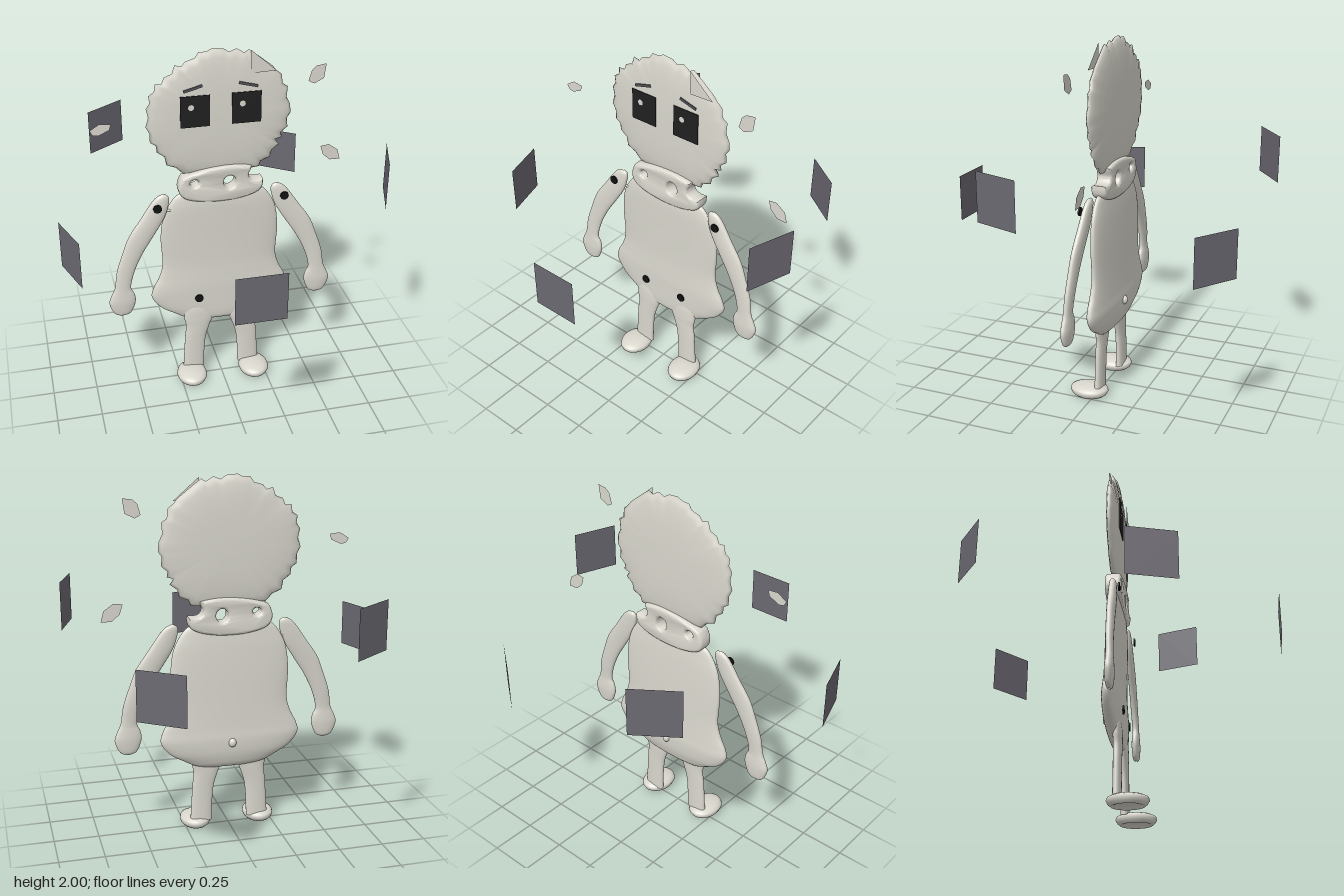
import * as THREE from 'three';
import { toCreasedNormals } from 'three/addons/utils/BufferGeometryUtils.js';

const mat = (name, color, side = THREE.FrontSide) => {
  const m = new THREE.MeshStandardMaterial({ color, side });
  m.name = name;
  return m;
};

function indexed(pos, idx) {
  const g = new THREE.BufferGeometry();
  g.setAttribute('position', new THREE.Float32BufferAttribute(pos, 3));
  g.setIndex(idx);
  g.computeVertexNormals();
  return g;
}

// Smooth upright form through rows of [y, centreX, halfWidth, centreZ, halfDepth], bottom to top
function loft(rows, side = 1, steps = 48, seg = 40) {
  const mid = new THREE.CatmullRomCurve3(rows.map(r => new THREE.Vector3(r[1] * side, r[0], r[3])), false, 'catmullrom');
  const size = new THREE.CatmullRomCurve3(rows.map(r => new THREE.Vector3(r[2], r[4], 0)), false, 'catmullrom');
  const pos = [], idx = [];
  for (let i = 0; i <= steps; i++) {
    const c = mid.getPoint(i / steps), s = size.getPoint(i / steps);
    for (let j = 0; j < seg; j++) {
      const a = j / seg * Math.PI * 2, sn = Math.sin(a);
      pos.push(c.x + Math.max(s.x, 0.001) * Math.cos(a), c.y,
        c.z + Math.max(s.y, 0.001) * Math.sign(sn) * Math.abs(sn) ** 0.8);
      if (i < steps) {
        const p = i * seg + j, q = i * seg + (j + 1) % seg;
        idx.push(p, p + seg, q + seg, p, q + seg, q);
      }
    }
  }
  return indexed(pos, idx);
}

// Lens-shaped slab swelling from a counter-clockwise outline
function puff(outline, cx, cy, cz, depth) {
  const n = outline.length, levels = [0.02, 0.3, 0.55, 0.75, 0.88, 0.96, 1];
  const rings = [...levels.map(t => [t, 1]), ...levels.slice(0, -1).reverse().map(t => [t, -1])];
  const pos = [], idx = [];
  rings.forEach(([t, s], i) => outline.forEach(([x, y], j) => {
    pos.push(cx + (x - cx) * t, cy + (y - cy) * t, cz + s * depth * Math.sqrt(1 - t ** 3));
    if (i < rings.length - 1) {
      const p = i * n + j, q = i * n + (j + 1) % n;
      idx.push(p, p + n, q + n, p, q + n, q);
    }
  }));
  for (let j = 1; j < n - 1; j++) {
    const b = (rings.length - 1) * n;
    idx.push(0, j, j + 1, b, b + j + 1, b + j);
  }
  return indexed(pos, idx);
}

const flat = pts => new THREE.ShapeGeometry(new THREE.Shape(pts.map(p => new THREE.Vector2(...p))));

export function createModel() {
  const root = new THREE.Group();
  const cloth = mat('pale cloth', 0xdad8ce);
  const paper = mat('pale paper', 0xdad8ce, THREE.DoubleSide);
  const board = mat('slate panel', 0x6c6a72, THREE.DoubleSide);
  const black = mat('eye black', 0x202020);
  const ink = mat('stud black', 0x121212);
  const browGrey = mat('brow grey', 0x55535a);
  const add = (name, geo, m, x = 0, y = 0, z = 0) => {
    const mesh = new THREE.Mesh(geo, m);
    mesh.name = name;
    mesh.position.set(x, y, z);
    root.add(mesh);
    return mesh;
  };

  // Ragged flat head
  const headOutline = [[.385, 1.66], [.365, 1.7], [.37, 1.76], [.34, 1.78], [.335, 1.83], [.3, 1.86], [.285, 1.88],
    [.235, 1.92], [.19, 1.955], [.155, 1.98], [.13, 1.965], [.09, 1.99], [.05, 1.975], [.02, 1.995], [-.04, 2],
    [-.07, 1.985], [-.11, 1.985], [-.13, 1.955], [-.18, 1.94], [-.2, 1.915], [-.235, 1.925], [-.25, 1.88],
    [-.29, 1.865], [-.305, 1.83], [-.34, 1.83], [-.345, 1.79], [-.375, 1.77], [-.37, 1.73], [-.39, 1.7],
    [-.38, 1.65], [-.395, 1.6], [-.375, 1.56], [-.375, 1.51], [-.345, 1.49], [-.34, 1.45], [-.3, 1.42],
    [-.29, 1.37], [-.24, 1.35], [-.2, 1.31], [0, 1.29], [.14, 1.3], [.22, 1.31], [.23, 1.34], [.28, 1.36],
    [.29, 1.4], [.33, 1.43], [.31, 1.46], [.345, 1.47], [.34, 1.5], [.375, 1.53], [.37, 1.58], [.39, 1.61]];
  add('head', puff(headOutline, 0, 1.64, -0.045, 0.034), cloth);

  // Collar with a notch and two holes right through
  const collarShape = new THREE.Shape();
  collarShape.moveTo(-0.21, 1.3);
  collarShape.bezierCurveTo(-0.25, 1.24, -0.24, 1.18, -0.17, 1.16);
  collarShape.bezierCurveTo(-0.08, 1.13, 0.08, 1.13, 0.17, 1.16);
  collarShape.bezierCurveTo(0.23, 1.18, 0.24, 1.2, 0.235, 1.25);
  collarShape.bezierCurveTo(0.2, 1.245, 0.16, 1.24, 0.155, 1.28);
  collarShape.bezierCurveTo(0.155, 1.3, 0.17, 1.31, 0.17, 1.33);
  collarShape.bezierCurveTo(0.08, 1.36, -0.08, 1.35, -0.21, 1.3);
  for (const [x, y, rx, ry] of [[-0.145, 1.262, 0.024, 0.02], [0.05, 1.25, 0.034, 0.037]]) {
    collarShape.holes.push(new THREE.Path().absellipse(x, y, rx, ry, 0, Math.PI * 2, true));
  }
  const collar = new THREE.ExtrudeGeometry(collarShape, {
    depth: 0.05, bevelThickness: 0.018, bevelSize: 0.016, bevelOffset: -0.016, bevelSegments: 4, curveSegments: 16,
  });
  add('collar', toCreasedNormals(collar, 0.9), cloth, 0, 0, -0.067);

  // Body with flared skirt: y, centreX, halfWidth, centreZ, halfDepth
  add('body', loft([[.365, 0, .12, -.035, .01], [.385, 0, .2, -.04, .032], [.42, 0, .265, -.045, .042],
    [.47, 0, .345, -.05, .048], [.54, 0, .395, -.052, .05], [.6, 0, .385, -.05, .048], [.67, 0, .35, -.05, .045],
    [.76, 0, .328, -.05, .042], [.92, 0, .335, -.047, .04], [1.05, 0, .32, -.043, .038],
    [1.13, 0, .285, -.04, .035], [1.185, 0, .24, -.04, .028], [1.21, 0, .18, -.04, .008]], 1, 72, 64), cloth);
  const tail = add('tailBump', new THREE.SphereGeometry(0.022, 20, 14), cloth, 0, 0.525, -0.1);
  tail.scale.set(1, 1.2, 1);

  // Foot profile, hollow under the sole
  const footProfile = [[0, .022], [.045, .02], [.056, .004], [.068, 0], [.08, .012], [.0875, .03], [.083, .045],
    [.065, .056], [.035, .063], [0, .065]].map(p => new THREE.Vector2(...p));

  for (const s of [1, -1]) {
    const side = s > 0 ? 'left' : 'right';
    add(side + 'Arm', loft([[.476, .57, .01, -.008, .004], [.495, .57, .048, -.008, .018], [.56, .57, .074, -.008, .024],
      [.61, .565, .065, -.008, .022], [.66, .563, .045, -.008, .019], [.76, .542, .05, -.012, .02],
      [.87, .497, .058, -.015, .021], [.97, .445, .07, -.018, .022], [1.07, .38, .066, -.022, .022],
      [1.15, .34, .052, -.025, .02], [1.19, .322, .034, -.027, .016], [1.208, .315, .006, -.028, .004]], s), cloth);
    add(side + 'Leg', loft([[.04, .165, .062, -.022, .023], [.15, .16, .06, -.022, .022], [.25, .152, .062, -.022, .022],
      [.33, .136, .07, -.023, .023], [.39, .13, .085, -.024, .024], [.46, .13, .08, -.03, .025],
      [.52, .13, .02, -.035, .01]], s), cloth);
    const foot = add(side + 'Foot', new THREE.LatheGeometry(footProfile, 40), cloth, 0.187 * s, 0, 0.035);
    foot.scale.z = 1.26;

    // Joint studs
    for (const [part, x, y, z] of [['Shoulder', .355, 1.14, .01], ['Hip', .131, .532, .006]]) {
      const stud = add(side + part + 'Stud', new THREE.CylinderGeometry(0.024, 0.024, 0.008, 16), ink, x * s, y, z);
      stud.rotation.x = Math.PI / 2;
    }

    // Eye, glint and slanted brow
    add(side + 'Eye', new THREE.BoxGeometry(0.158, 0.173, 0.004), black, 0.138 * s, 1.678, -0.007);
    add(side + 'EyeGlint', new THREE.CircleGeometry(0.016, 20), paper, s > 0 ? 0.115 : -0.16, 1.702, -0.003);
    const brow = add(side + 'Brow', new THREE.BoxGeometry(0.104, 0.014, 0.006), browGrey, 0.148 * s, 1.803, -0.01);
    brow.rotation.z = -0.26 * s;
  }
  // Thread holding the right arm
  const thread = add('armThread', new THREE.CylinderGeometry(0.007, 0.007, 0.07, 8), cloth, -0.295, 1.105, -0.03);
  thread.rotation.z = Math.PI / 2;

  // Loose paper scraps
  add('headScrap', flat([[.158, 1.987], [.158, 1.86], [.299, 1.865]]), paper, 0, 0, -0.014);
  add('scrapRight', flat([[-.69, 1.627], [-.637, 1.66], [-.578, 1.653], [-.588, 1.622], [-.645, 1.595], [-.675, 1.6]]), paper);
  add('scrapUpperLeft', flat([[.563, 1.886], [.553, 1.807], [.5, 1.78], [.468, 1.797], [.484, 1.855], [.51, 1.878]]), paper);
  add('scrapLowerLeft', flat([[.595, 1.357], [.643, 1.363], [.696, 1.326], [.712, 1.267], [.653, 1.268], [.611, 1.305]]),
    paper, 0, 0, -0.12);

  // Five panels in a ring at alternating heights
  for (let i = 0; i < 5; i++) {
    const a = i * Math.PI * 2 / 5;
    const panel = add('panel' + (i + 1), new THREE.PlaneGeometry(0.263, 0.261), board,
      0.895 * Math.sin(a), i % 2 ? 1.31 : 1.049, -0.045 + 0.895 * Math.cos(a));
    panel.rotation.y = a;
  }
  return root;
}
